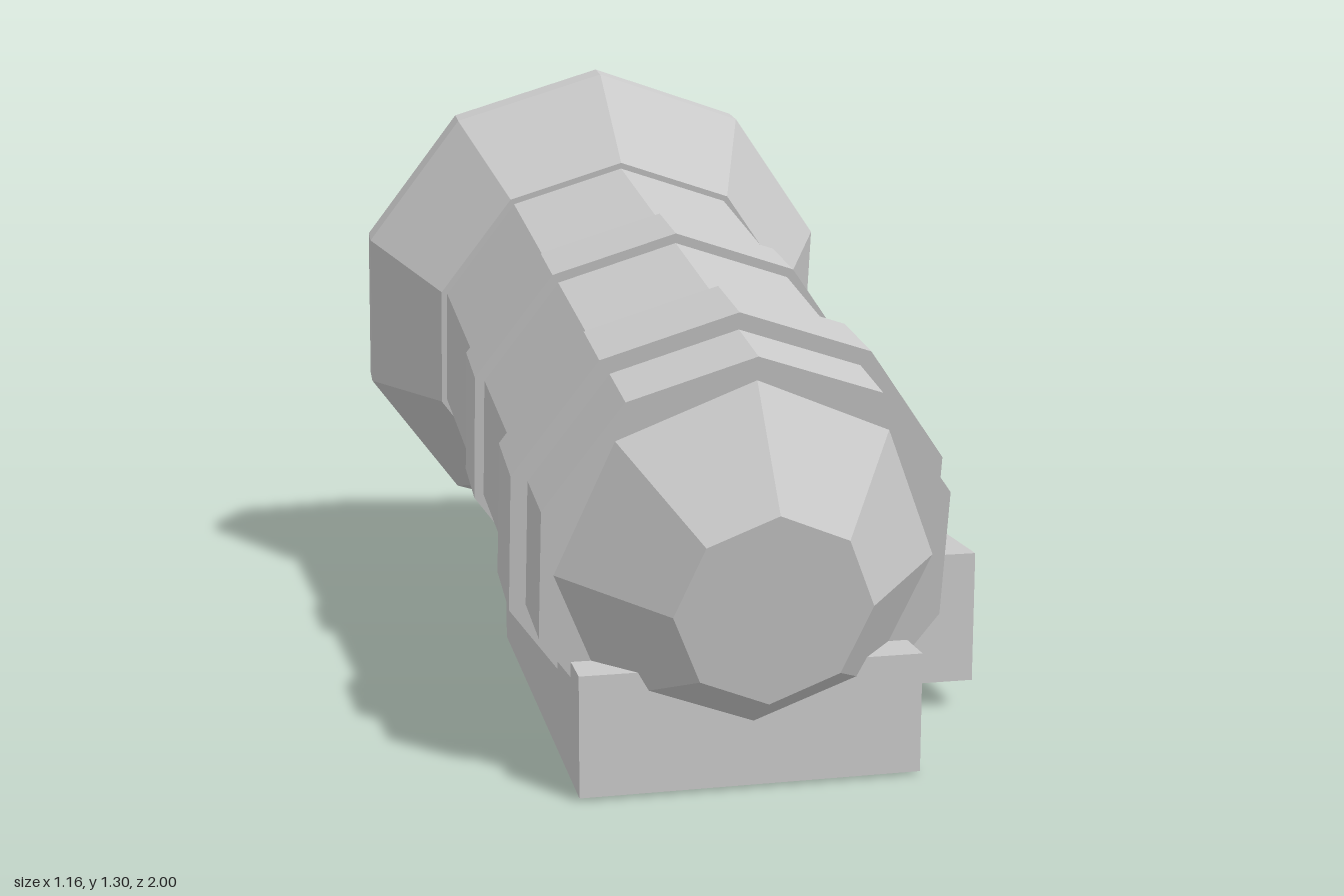
import * as THREE from 'three';

export function createModel() {
  const model = new THREE.Group();
  model.name = 'telescope';
  const grey = new THREE.MeshStandardMaterial({ color: 0xc8c8c8, flatShading: true });
  grey.name = 'grey';

  // Tilted assembly: local +y runs forward along the barrel, starting at the rear face
  const barrel = new THREE.Group();
  barrel.name = 'barrel';
  barrel.position.set(0, 0.7075, -0.89);
  barrel.rotation.x = THREE.MathUtils.degToRad(100);
  model.add(barrel);

  // name, rear position, front position, rear radius, front radius, sides
  const sections = [
    ['lens', -0.002, 0.02, 0.373, 0.373, 10],
    ['rearRim', 0, 0.07, 0.61, 0.61, 10],
    ['flaredHood', 0.07, 0.377, 0.61, 0.453, 10],
    ['tube', 0.3, 1.69, 0.441, 0.405, 10],
    ['middleBand', 0.828, 0.995, 0.444, 0.444, 10],
    ['frontBand', 1.375, 1.545, 0.442, 0.442, 10],
    ['eyepiece', 1.685, 1.887, 0.365, 0.182, 8],
  ];
  for (const [name, rear, front, rRear, rFront, sides] of sections) {
    const geo = new THREE.CylinderGeometry(rFront, rRear, front - rear, sides);
    const mesh = new THREE.Mesh(geo, grey);
    mesh.name = name;
    mesh.position.y = (rear + front) / 2;
    barrel.add(mesh);
  }

  // Level blocks given by their min and max corners
  const block = (name, min, max) => {
    const size = max.map((v, i) => v - min[i]);
    const mesh = new THREE.Mesh(new THREE.BoxGeometry(...size), grey);
    mesh.name = name;
    mesh.position.set(...max.map((v, i) => (v + min[i]) / 2));
    model.add(mesh);
  };
  block('mountBase', [-0.325, 0.01, -0.175], [0.325, 0.24, 0.83]);
  block('sideKnob', [0.29, 0.065, 0.155], [0.555, 0.335, 0.5]);

  return model;
}
